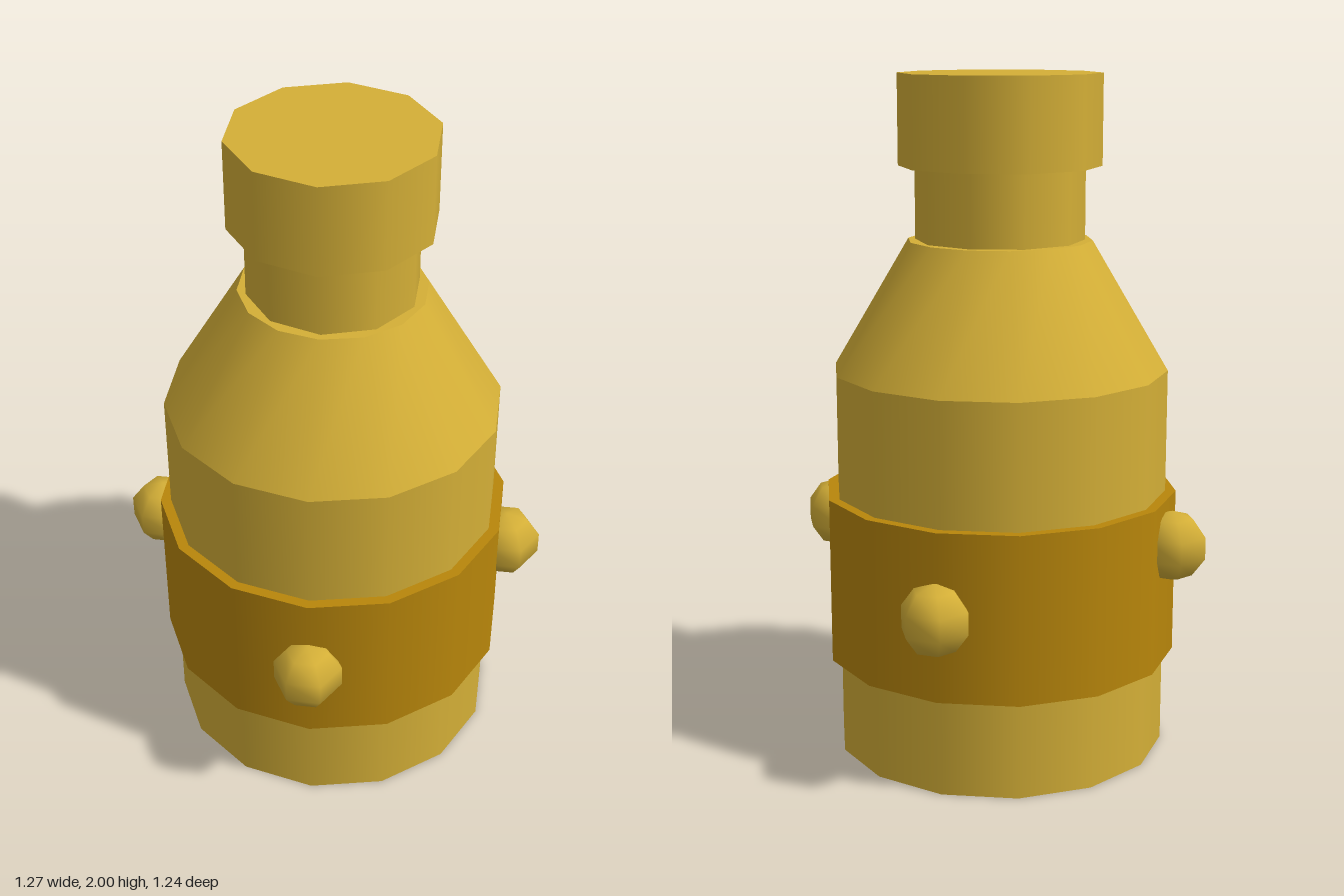
import * as THREE from 'three';

export function createModel() {
  const gold = new THREE.MeshStandardMaterial({ color: 0xd4af37 });
  gold.name = 'gold';
  const darkGold = new THREE.MeshStandardMaterial({ color: 0xb8860b });
  darkGold.name = 'darkGold';
  const group = new THREE.Group();
  group.name = 'bottle';

  const add = (name, geometry, material, x, y, z) => {
    const mesh = new THREE.Mesh(geometry, material);
    mesh.name = name;
    mesh.position.set(x, y, z);
    group.add(mesh);
  };
  // Upright faceted drum between two heights
  const drum = (name, material, y0, y1, rBottom, rTop, sides) =>
    add(name, new THREE.CylinderGeometry(rTop, rBottom, y1 - y0, sides), material, 0, (y0 + y1) / 2, 0);

  drum('body', gold, 0, 1.147, 0.494, 0.494, 14);
  drum('shoulder', gold, 1.147, 1.525, 0.494, 0.27, 14);
  drum('neck', gold, 1.525, 1.737, 0.247, 0.247, 10);
  drum('cap', gold, 1.737, 2, 0.295, 0.295, 10);
  drum('band', darkGold, 0.29, 0.784, 0.525, 0.525, 14);

  // Studs around the band: front and back sit lower than the sides
  const stud = new THREE.SphereGeometry(0.105, 6, 5);
  for (const s of [1, -1]) {
    add(s > 0 ? 'frontStud' : 'backStud', stud, gold, 0, 0.537, s * 0.533);
    add(s > 0 ? 'leftStud' : 'rightStud', stud, gold, s * 0.533, 0.651, 0);
  }
  return group;
}
